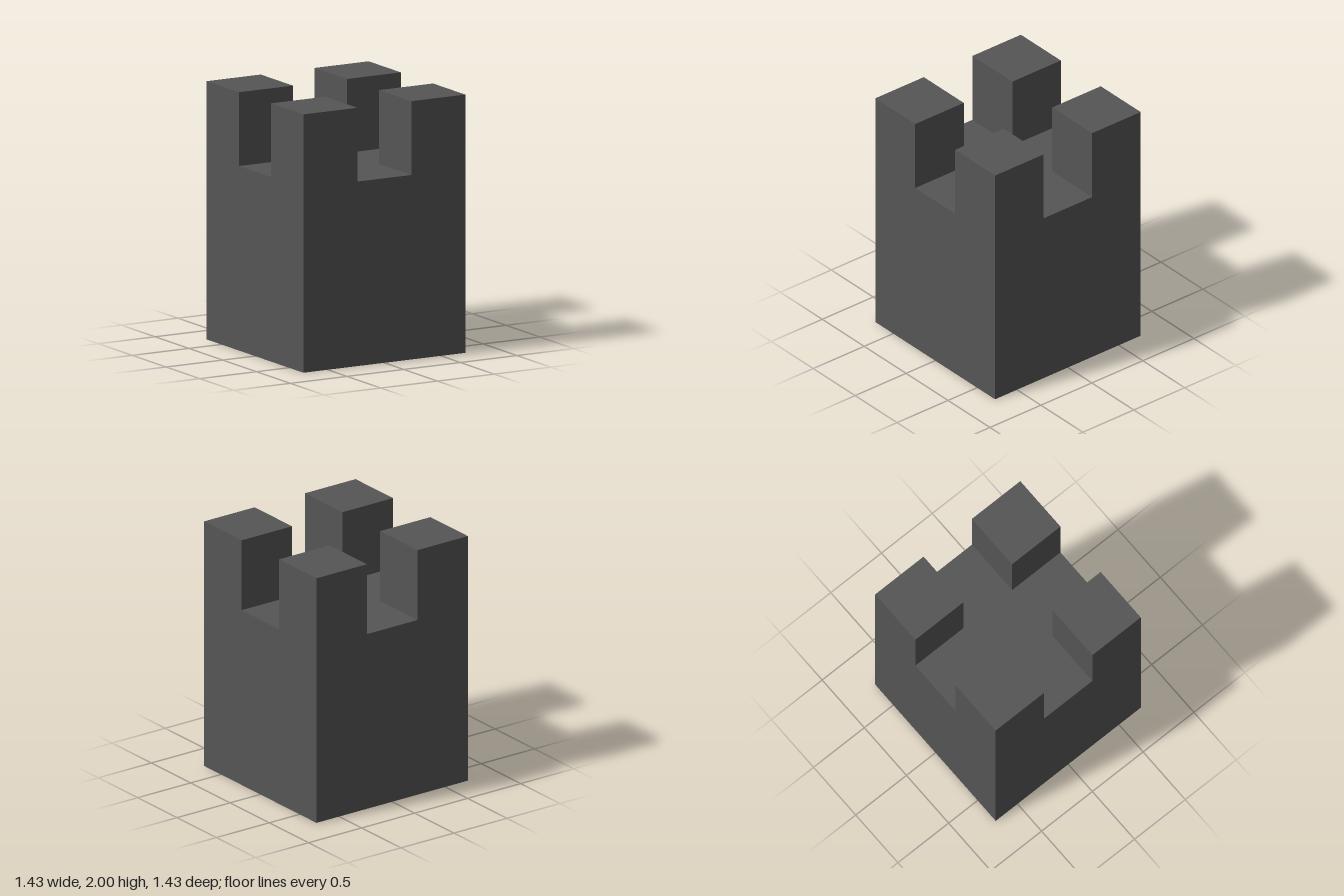
import * as THREE from 'three';

const WIDTH = 10 / 7;         // square footprint
const FLOOR = 10 / 7;         // height of the roof between the battlements
const TOP = 2;
const MERLON = WIDTH / 3;     // each corner block covers a third of a side

export function createModel() {
  const tower = new THREE.Group();
  tower.name = 'tower';
  const stone = new THREE.MeshStandardMaterial({ color: 0x555555 });

  // A named block standing on the given height
  const addBlock = (name, width, height, x, y, z) => {
    const block = new THREE.Mesh(new THREE.BoxGeometry(width, height, width), stone);
    block.name = name;
    block.position.set(x, y + height / 2, z);
    tower.add(block);
  };

  // Solid body
  addBlock('towerBody', WIDTH, FLOOR, 0, 0, 0);

  // Four corner battlements, flush with the outer walls
  const offset = (WIDTH - MERLON) / 2;
  for (const [side, sx] of [['Left', 1], ['Right', -1]]) {
    for (const [end, sz] of [['front', 1], ['back', -1]]) {
      addBlock(`${end}${side}Battlement`, MERLON, TOP - FLOOR, sx * offset, FLOOR, sz * offset);
    }
  }
  return tower;
}
